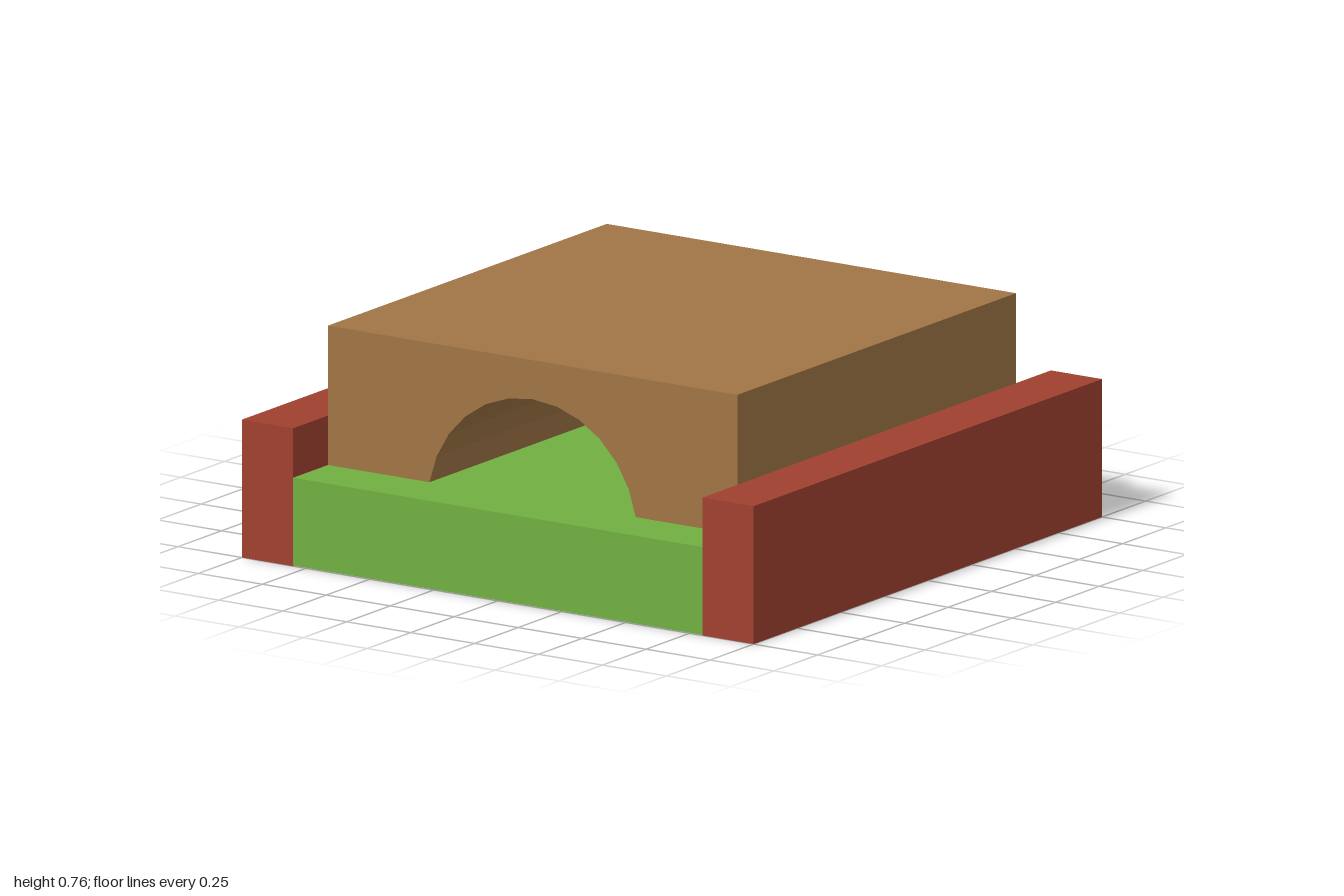
import * as THREE from 'three';

const RED = 0xa04030, GREEN = 0x70b040, BROWN = 0xa07545;
const GROUND = 0.295, WALL_TOP = 0.46, TOP = 0.76, INNER = 0.8;

function addPart(parent, name, geometry, color, x = 0, y = 0, z = 0) {
  const material = new THREE.MeshStandardMaterial({ color, flatShading: true });
  const mesh = new THREE.Mesh(geometry, material);
  mesh.name = name;
  mesh.position.set(x, y, z);
  parent.add(mesh);
  return mesh;
}

export function createModel() {
  const model = new THREE.Group();
  model.name = 'tunnelTile';

  // Side walls
  for (const [name, side] of [['leftWall', 1], ['rightWall', -1]]) {
    addPart(model, name, new THREE.BoxGeometry(1 - INNER, WALL_TOP, 2), RED, side * 0.9, WALL_TOP / 2);
  }

  // Grass bed between the walls, with a red underside
  const lift = 0.002;
  addPart(model, 'grassBed', new THREE.BoxGeometry(2 * INNER, GROUND - lift, 2), GREEN, 0, (GROUND + lift) / 2);
  const underside = new THREE.PlaneGeometry(2 * INNER, 2).rotateX(Math.PI / 2);
  addPart(model, 'underside', underside, RED);

  // Earth block with a twelve-sided arch running through it
  const radius = 0.41, centreY = 0.22, segments = 12;
  const start = Math.asin((GROUND - centreY) / radius);
  const shape = new THREE.Shape();
  shape.moveTo(INNER, GROUND);
  shape.lineTo(INNER, TOP);
  shape.lineTo(-INNER, TOP);
  shape.lineTo(-INNER, GROUND);
  for (let i = 0; i <= segments; i++) {
    const a = Math.PI - start - (i / segments) * (Math.PI - 2 * start);
    shape.lineTo(radius * Math.cos(a), centreY + radius * Math.sin(a));
  }
  shape.closePath();
  const tunnel = new THREE.ExtrudeGeometry(shape, { depth: 1.6, bevelEnabled: false });
  addPart(model, 'tunnelBlock', tunnel, BROWN, 0, 0, -0.8);

  return model;
}
